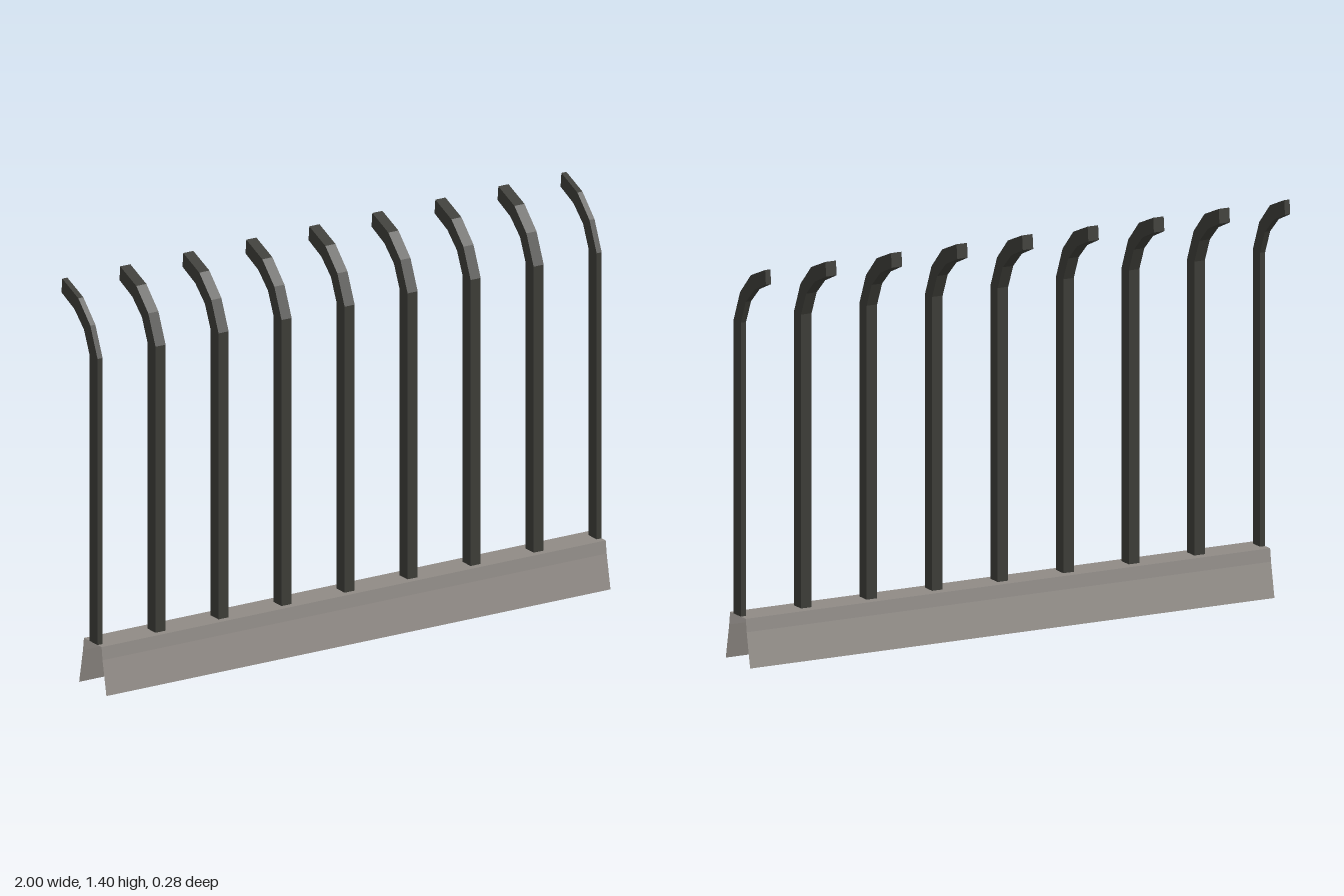
import * as THREE from 'three';

const baseMaterial = new THREE.MeshStandardMaterial({ color: 0x8f8a85, flatShading: true, side: THREE.DoubleSide });
const postMaterial = new THREE.MeshStandardMaterial({ color: 0x3c3c37, flatShading: true });

// Side outline of a post as [z, y]: straight shaft with a faceted bend to the back
const postOutline = [
  [0.035, 0.165], [0.085, 0.165], [0.085, 1.18], [0.04, 1.285], [-0.035, 1.36],
  [-0.135, 1.4], [-0.14, 1.35], [-0.06, 1.315], [0, 1.26], [0.035, 1.18],
];

// Open channel section as [z, y], from the back foot over the top to the front foot
const channelProfile = [
  [-0.03, 0], [-0.006, 0.12], [0, 0.165], [0.11, 0.165], [0.116, 0.12], [0.14, 0],
];

function createPost(width) {
  const shape = new THREE.Shape(postOutline.map(([z, y]) => new THREE.Vector2(z, y)));
  const geometry = new THREE.ExtrudeGeometry(shape, { depth: width, bevelEnabled: false });
  geometry.translate(0, 0, -width / 2).rotateY(-Math.PI / 2);
  return new THREE.Mesh(geometry, postMaterial);
}

function createBase() {
  const plane = new THREE.PlaneGeometry(2, 1, 1, channelProfile.length - 1);
  const position = plane.attributes.position;
  for (let i = 0; i < position.count; i++) {
    const [z, y] = channelProfile[Math.floor(i / 2)];
    position.setXYZ(i, position.getX(i), y, z);
  }
  const geometry = plane.toNonIndexed();
  geometry.computeVertexNormals();
  const base = new THREE.Mesh(geometry, baseMaterial);
  base.name = 'baseChannel';
  return base;
}

export function createModel() {
  const model = new THREE.Group();
  model.name = 'curvedFence';
  model.add(createBase());

  // Nine posts; the end ones are half width so that sections tile
  const posts = new THREE.Group();
  posts.name = 'posts';
  for (let i = -4; i <= 4; i++) {
    const isEnd = Math.abs(i) === 4;
    const post = createPost(isEnd ? 0.02 : 0.04);
    post.position.x = isEnd ? Math.sign(i) * 0.99 : i * 0.25;
    post.name = isEnd ? 'endPost' : 'post';
    posts.add(post);
  }
  model.add(posts);
  return model;
}
